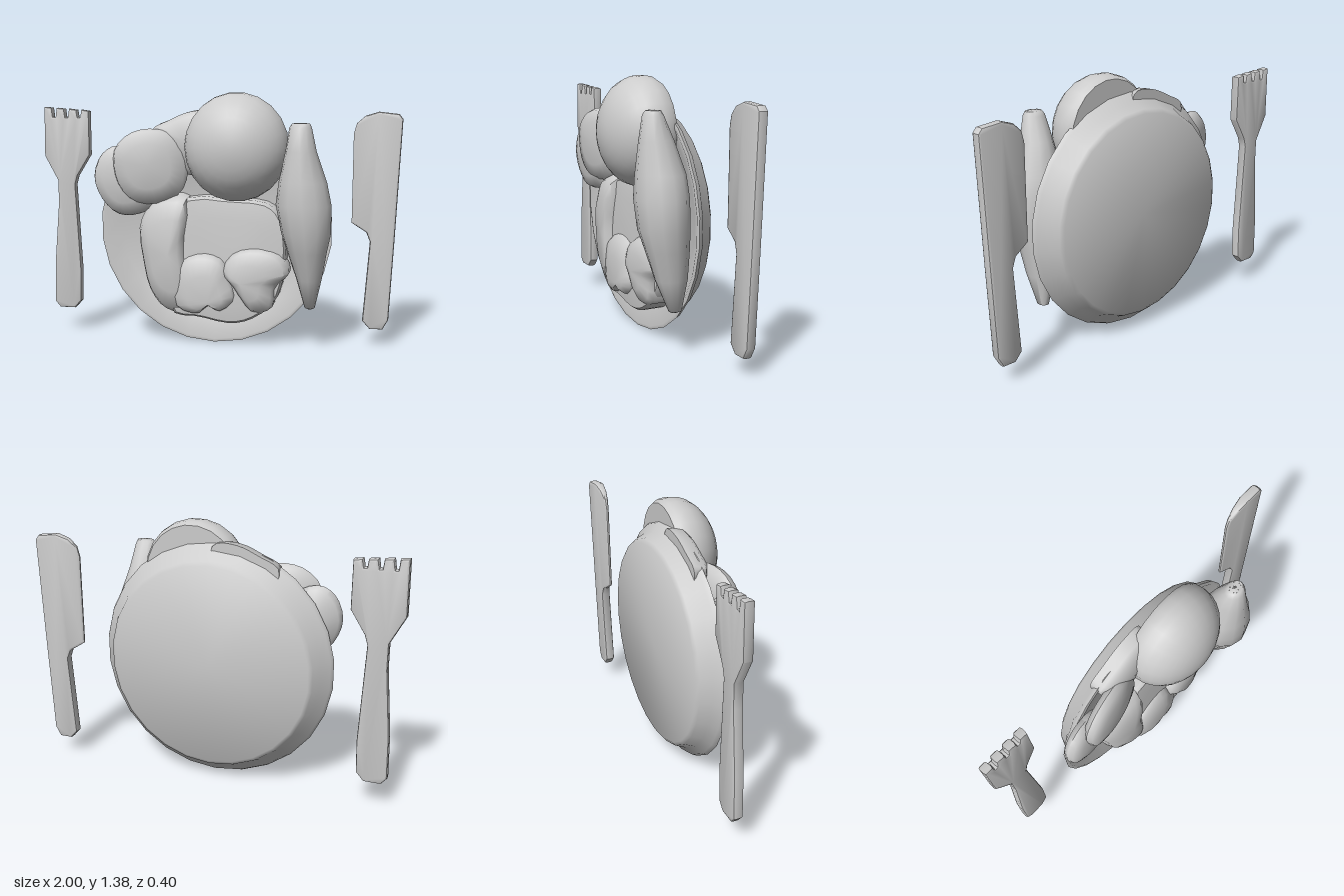
import * as THREE from 'three';
import { toCreasedNormals, mergeVertices } from 'three/addons/utils/BufferGeometryUtils.js';

const material = new THREE.MeshStandardMaterial({ color: 0xcccccc });

function add(group, name, geometry, crease = 0.8) {
  const mesh = new THREE.Mesh(toCreasedNormals(geometry, crease), material);
  mesh.name = name;
  group.add(mesh);
  return mesh;
}

// Skin a stack of closed rings (arrays of Vector3 of equal length)
function skin(rings) {
  const n = rings[0].length, index = [];
  for (let i = 0; i < rings.length - 1; i++) {
    for (let j = 0; j < n; j++) {
      const k = (j + 1) % n, a = i * n + j, b = i * n + k, c = a + n, d = b + n;
      if (i > 0) index.push(a, b, d);
      if (i < rings.length - 2) index.push(a, d, c);
      else if (i === 0) index.push(a, d, c);
    }
  }
  const g = new THREE.BufferGeometry().setFromPoints(rings.flat());
  g.setIndex(index);
  return g;
}

// Domed mound over a smooth outline: [scale, z] rows run from back to front
function mound(outline, rows, { tiltX = 0, tiltY = 0, samples = 26, peak = [0, 0] } = {}) {
  const pts = outline.map(([x, y]) => new THREE.Vector3(x, y, 0));
  if (THREE.ShapeUtils.isClockWise(pts)) pts.reverse();
  const ring = new THREE.CatmullRomCurve3(pts, true).getPoints(samples).slice(0, samples);
  const centre = ring.reduce((s, p) => s.add(p), new THREE.Vector3()).divideScalar(samples);
  return skin(rows.map(([s, z]) => ring.map((p) => {
    const q = p.clone().sub(centre).multiplyScalar(s);
    const zz = z + tiltX * q.x + tiltY * q.y;
    return new THREE.Vector3(centre.x + q.x + peak[0] * (1 - s), centre.y + q.y + peak[1] * (1 - s), zz);
  })));
}

// Flat cutlery piece with a bevelled edge
function cutlery(outline) {
  const shape = new THREE.Shape(outline.map(([x, y]) => new THREE.Vector2(x, y)));
  const g = new THREE.ExtrudeGeometry(shape, {
    depth: 0.026, bevelEnabled: true, bevelThickness: 0.014,
    bevelSize: 0.012, bevelOffset: -0.012, bevelSegments: 2,
  });
  return g.translate(0, 0, -0.184);
}

export function createModel() {
  const model = new THREE.Group();
  model.name = 'dinnerPlate';

  // Plate: flat back, flared rim, shallow dish
  const profile = [[0, -0.2], [0.54, -0.2], [0.56, -0.185], [0.585, -0.13], [0.63, -0.1], [0.642, -0.075],
    [0.625, -0.07], [0.53, -0.115], [0, -0.12]].map(([r, z]) => new THREE.Vector2(r, z));
  add(model, 'plate', new THREE.LatheGeometry(profile, 26).rotateX(Math.PI / 2).translate(0, 0.642, 0));

  // Round scoop, flattened where it rests on the plate
  const scoop = new THREE.SphereGeometry(1, 22, 16).rotateX(Math.PI / 2).scale(0.28, 0.29, 0.22);
  const sp = scoop.attributes.position;
  for (let i = 0; i < sp.count; i++) {
    const z = sp.getZ(i), y = sp.getY(i);
    sp.setXYZ(i, sp.getX(i), y, Math.max(z, -0.07));
  }
  add(model, 'scoop', scoop.translate(0.13, 1.09, -0.02), 1);

  // Tapered vegetable: rows are y, left x, right x, back z, front z
  const stations = [[0.23, 0.53, 0.54, -0.01, 0.01], [0.24, 0.505, 0.56, -0.04, 0.03], [0.4, 0.46, 0.595, -0.07, 0.1],
    [0.55, 0.41, 0.62, -0.08, 0.145], [0.65, 0.38, 0.64, -0.08, 0.178], [0.8, 0.35, 0.64, -0.08, 0.19],
    [0.92, 0.365, 0.615, -0.065, 0.183], [1.08, 0.4, 0.56, -0.01, 0.165], [1.2, 0.42, 0.535, 0.045, 0.145],
    [1.222, 0.435, 0.525, 0.06, 0.13], [1.224, 0.48, 0.482, 0.09, 0.092]];
  const sides = 12;
  add(model, 'taperedVegetable', skin(stations.map(([y, x0, x1, z0, z1]) =>
    Array.from({ length: sides }, (_, j) => {
      const a = j / sides * Math.PI * 2;
      return new THREE.Vector3((x0 + x1) / 2 + Math.cos(a) * (x1 - x0) / 2, y, (z0 + z1) / 2 - Math.sin(a) * (z1 - z0) / 2);
    }))), 1);

  // Overlapping rounded slices at the upper left
  const slice = [[0, -0.07], [0.9, -0.065], [1, -0.035], [0.93, -0.005], [0.6, 0.015], [0, 0.025]];
  add(model, 'outerSlice', mound([[-0.66, 0.92], [-0.62, 1.04], [-0.54, 1.09], [-0.42, 1.05], [-0.34, 0.9],
    [-0.34, 0.76], [-0.42, 0.715], [-0.53, 0.715], [-0.62, 0.8]], slice, { tiltX: -0.12 }), 1);
  add(model, 'middleSlice', mound([[-0.53, 1.08], [-0.45, 1.16], [-0.34, 1.185], [-0.23, 1.16], [-0.16, 1.08],
    [-0.14, 0.95], [-0.18, 0.84], [-0.3, 0.78], [-0.43, 0.79], [-0.51, 0.87], [-0.54, 0.98]],
  slice.map(([s, z]) => [s, z + 0.02]), { tiltX: -0.16 }), 1);
  add(model, 'innerSlice', mound([[-0.35, 1.17], [-0.25, 1.23], [-0.12, 1.28], [0, 1.27], [0, 1.0], [-0.12, 0.93], [-0.28, 1.0]],
    [[0, -0.12], [1, -0.12], [0.98, -0.055], [0.8, -0.03], [0, 0]]), 1);

  // Main portion: a flat slab and a raised lobe along its left edge
  add(model, 'slab', mound([[-0.16, 0.8], [0.1, 0.81], [0.3, 0.79], [0.37, 0.72], [0.4, 0.5], [0.35, 0.27],
    [0.22, 0.16], [0.1, 0.13], [-0.08, 0.16], [-0.22, 0.18], [-0.24, 0.5]],
  [[0, -0.13], [1, -0.13], [1, -0.02], [0.96, 0.0], [0.7, 0.012], [0, 0.0]], { samples: 30, tiltY: -0.04 }), 0.7);
  add(model, 'sideLobe', mound([[-0.14, 0.815], [-0.27, 0.82], [-0.36, 0.77], [-0.42, 0.65], [-0.4, 0.45], [-0.36, 0.29],
    [-0.28, 0.19], [-0.17, 0.17], [-0.13, 0.3], [-0.15, 0.55]],
  [[0, -0.13], [1, -0.13], [0.98, -0.04], [0.88, 0.005], [0.6, 0.035], [0, 0.045]], { tiltX: 0.12, peak: [0.03, 0] }), 1);

  // Two small florets with a lobed lower edge
  const floret = [[0, -0.1], [1, -0.1], [1, 0.005], [0.9, 0.035], [0.55, 0.058], [0, 0.06]];
  add(model, 'leftFloret', mound([[-0.21, 0.38], [-0.16, 0.48], [-0.04, 0.515], [0.06, 0.48], [0.1, 0.38], [0.13, 0.27],
    [0.05, 0.2], [-0.01, 0.23], [-0.08, 0.18], [-0.2, 0.22]], floret, { peak: [0.02, -0.08] }), 0.9);
  add(model, 'rightFloret', mound([[0.06, 0.42], [0.12, 0.52], [0.26, 0.55], [0.38, 0.51], [0.42, 0.42], [0.35, 0.35],
    [0.33, 0.23], [0.23, 0.2], [0.16, 0.28], [0.12, 0.34]], floret, { peak: [-0.08, -0.02] }), 0.9);

  // Fork with four short tines
  const tines = [];
  for (let i = 3; i >= 0; i--) {
    const x = -1 + i * 0.073;
    tines.push([x + 0.05, 1.275 + (3 - i) * 0.006], [x + 0.004, 1.282 + (3 - i) * 0.005]);
    if (i > 0) tines.push([x - 0.004, 1.24], [x - 0.017, 1.24]);
  }
  add(model, 'fork', cutlery([[-0.96, 0.17], [-0.93, 0.135], [-0.84, 0.135], [-0.8, 0.18], [-0.795, 0.35], [-0.82, 0.86],
    [-0.805, 0.91], [-0.73, 1.03], ...tines, [-1, 1.02], [-0.925, 0.88], [-0.925, 0.75], [-0.955, 0.4]]), 0.6);

  // Knife, its blade thinning towards the cutting edge
  const knife = cutlery([[0.81, 0.14], [0.85, 0.095], [0.92, 0.095], [0.95, 0.15], [0.97, 0.6], [0.995, 1.24],
    [0.975, 1.265], [0.87, 1.277], [0.8, 1.255], [0.755, 1.215], [0.74, 1.16], [0.74, 0.68], [0.82, 0.63], [0.84, 0.58]]);
  const kp = knife.attributes.position;
  for (let i = 0; i < kp.count; i++) {
    const t = kp.getY(i) > 0.6 ? THREE.MathUtils.smoothstep(kp.getX(i), 0.7, 0.88) : 1;
    kp.setZ(i, -0.171 + (kp.getZ(i) + 0.171) * (0.25 + 0.75 * t));
  }
  add(model, 'knife', mergeVertices(knife), 0.6);

  return model;
}
